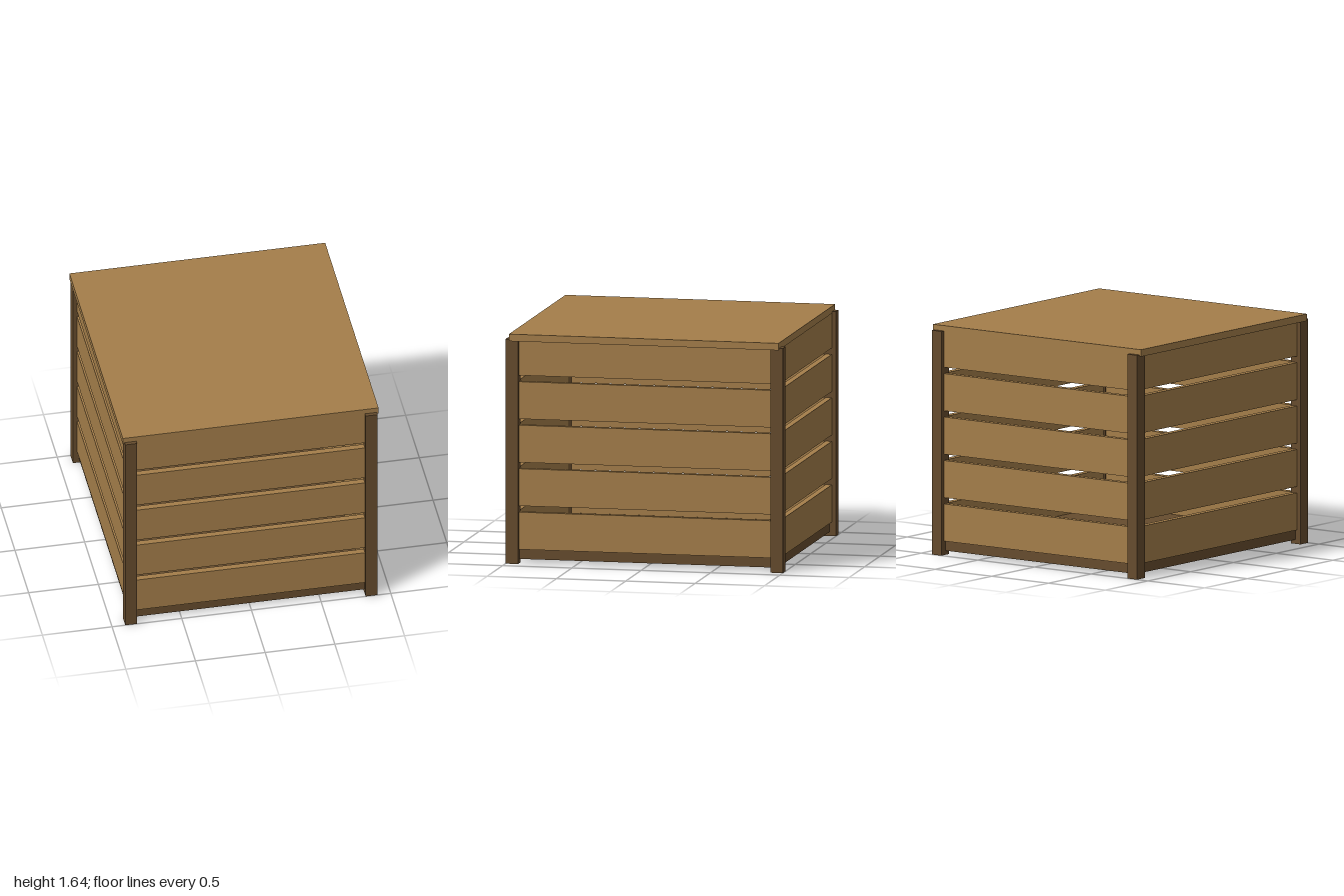
import * as THREE from 'three';

const lightWood = new THREE.MeshStandardMaterial({ color: 0xa47e4a });
const darkWood = new THREE.MeshStandardMaterial({ color: 0x664c2e });

// Axis-aligned board, positioned by its centre
function board(name, w, h, d, x, y, z, material) {
  const mesh = new THREE.Mesh(new THREE.BoxGeometry(w, h, d), material);
  mesh.name = name;
  mesh.position.set(x, y, z);
  return mesh;
}

export function createModel() {
  const crate = new THREE.Group();
  crate.name = 'slattedCrate';

  // Overall half sizes at the outer faces of the posts
  const halfX = 0.905, halfZ = 1;
  const postW = 0.085, postD = 0.09, postH = 1.6;
  const slatH = 0.265, slatT = 0.045, slatPitch = 0.31, slatStart = 0.1, recess = 0.03;

  // Corner posts
  for (const sx of [-1, 1]) {
    for (const sz of [-1, 1]) {
      crate.add(board('cornerPost', postW, postH, postD,
        sx * (halfX - postW / 2), postH / 2, sz * (halfZ - postD / 2), darkWood));
    }
  }

  // Floor panel, raised slightly off the ground
  crate.add(board('floorPanel', 1.72, 0.07, 1.91, 0, 0.065, 0, darkWood));

  // Five rows of slats on each wall, set back between the posts
  const innerX = halfX - postW, innerZ = halfZ - postD;
  for (let i = 0; i < 5; i++) {
    const bottom = slatStart + i * slatPitch;
    const h = Math.min(slatH, postH - bottom);
    const y = bottom + h / 2;
    for (const s of [-1, 1]) {
      crate.add(board(s > 0 ? 'frontSlat' : 'backSlat', innerX * 2, h, slatT,
        0, y, s * (halfZ - recess - slatT / 2), lightWood));
      crate.add(board(s > 0 ? 'leftSlat' : 'rightSlat', slatT, h, innerZ * 2,
        s * (halfX - recess - slatT / 2), y, 0, lightWood));
    }
  }

  // Flat lid
  crate.add(board('lid', 1.835, 0.05, 1.945, 0, 1.613, 0, lightWood));

  return crate;
}
